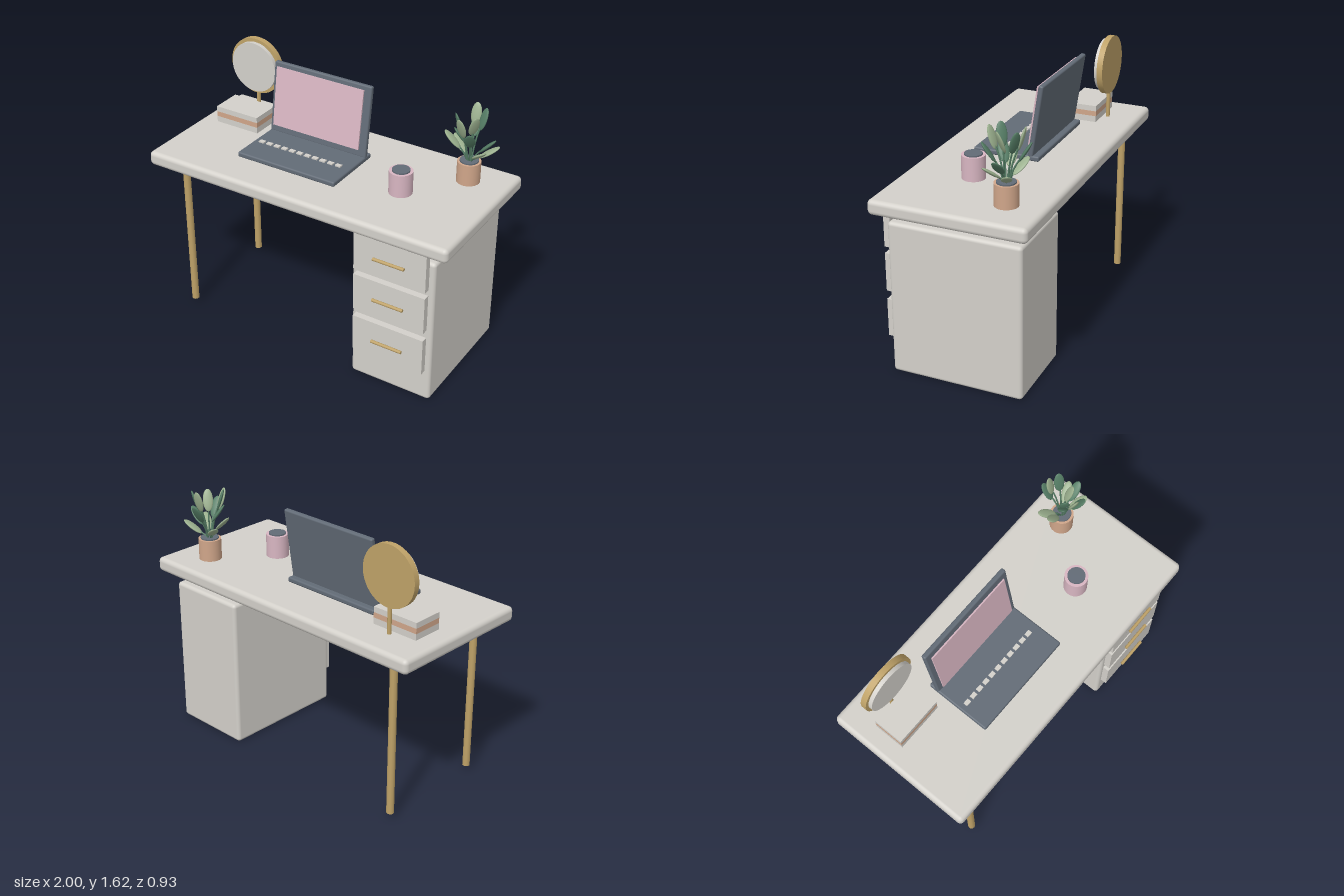
import * as THREE from 'three';
import { RoundedBoxGeometry } from 'three/addons/geometries/RoundedBoxGeometry.js';

const material = (name, color) => {
  const m = new THREE.MeshStandardMaterial({ color });
  m.name = name;
  return m;
};

export function createModel() {
  const root = new THREE.Group();
  root.name = 'desk';

  const white = material('warm white', 0xd3d0ca);
  const gold = material('brushed gold', 0xbfa268);
  const slate = material('slate', 0x626b76);
  const pink = material('dusty pink', 0xd8b6c2);
  const peach = material('peach', 0xd0a68a);
  const darkGreen = material('dark green', 0x557d65);
  const lightGreen = material('light green', 0x9bb08e);

  const add = (name, geometry, mat, x, y, z, parent = root) => {
    const mesh = new THREE.Mesh(geometry, mat);
    mesh.name = name;
    mesh.position.set(x, y, z);
    parent.add(mesh);
    return mesh;
  };
  const group = (name, x = 0, y = 0, z = 0) => {
    const g = new THREE.Group();
    g.name = name;
    g.position.set(x, y, z);
    root.add(g);
    return g;
  };
  const box = (w, h, d) => new THREE.BoxGeometry(w, h, d);
  const rounded = (w, h, d, r) => new RoundedBoxGeometry(w, h, d, 3, r);
  const cyl = (r, h, n = 24) => new THREE.CylinderGeometry(r, r, h, n);

  // Table top, cabinet and the two legs on the open side
  add('tableTop', rounded(2, 0.09, 0.934, 0.028), white, 0, 1.053, 0);
  add('cabinet', rounded(0.52, 0.94, 0.8, 0.022), white, 0.645, 0.47, 0);
  for (const z of [0.346, -0.346]) add('leg', cyl(0.023, 0.99, 10), gold, -0.818, 0.525, z);

  // Drawer fronts with bar handles
  for (const [y, handleY] of [[0.885, 0.885], [0.61, 0.61], [0.322, 0.32]]) {
    add('drawerFront', box(0.455, 0.235, 0.04), white, 0.643, y, 0.42);
    add('drawerHandle', cyl(0.01, 0.197, 10), gold, 0.647, handleY, 0.457).rotation.z = Math.PI / 2;
  }

  // Laptop: base, keys and leaning screen
  const laptop = group('laptop', -0.18, 1.098, 0);
  add('laptopBase', rounded(0.67, 0.032, 0.41, 0.01), slate, 0, 0.016, 0.028, laptop);
  for (let i = 0; i < 11; i++) {
    add('key', box(0.036, 0.009, 0.026), white, -0.28 + i * 0.0537, 0.0355, 0.057, laptop);
  }
  const lid = new THREE.Group();
  lid.name = 'laptopLid';
  lid.position.set(0, 0.024, -0.122);
  lid.rotation.x = -0.15;
  laptop.add(lid);
  add('lidPanel', rounded(0.67, 0.44, 0.031, 0.01), slate, 0, 0.22, 0, lid);
  add('screen', box(0.6, 0.366, 0.009), pink, -0.005, 0.232, 0.032, lid);

  // Round mirror on a slim stem
  const mirror = group('mirror', -0.722, 0, 0);
  add('mirrorFrame', cyl(0.18, 0.036, 48), gold, 0, 1.437, -0.28, mirror).rotation.x = Math.PI / 2;
  add('mirrorGlass', cyl(0.159, 0.024, 48), white, 0, 1.437, -0.25, mirror).rotation.x = Math.PI / 2;
  add('mirrorStem', cyl(0.0125, 0.19, 12), gold, 0, 1.19, -0.28, mirror);

  // Stack of three books
  [[1.119, 0.038, white], [1.154, 0.032, peach], [1.187, 0.034, white]].forEach(([y, h, mat]) =>
    add('book', box(0.3, h, 0.19), mat, -0.733, y, -0.155));

  // Lidded cup
  add('cup', cyl(0.069, 0.14), pink, 0.495, 1.168, 0.069);
  add('cupLid', cyl(0.052, 0.012), slate, 0.495, 1.24, 0.069);

  // Potted plant
  const plant = group('plant', 0.757, 1.098, -0.248);
  add('pot', cyl(0.069, 0.13), peach, 0, 0.065, 0, plant);
  add('soil', cyl(0.055, 0.012), slate, 0, 0.132, 0, plant);

  // Leaves: centre offset x, y, z; even ones are light
  const leaves = [
    [-0.105, 0.245, 0.015], [-0.055, 0.375, 0.05],
    [-0.02, 0.365, 0.088], [0.035, 0.30, 0.085],
    [0.08, 0.205, 0.05], [0.105, 0.25, 0.0],
    [0.098, 0.19, -0.045], [0.04, 0.375, -0.065],
    [-0.015, 0.385, -0.085], [-0.02, 0.31, -0.1],
    [-0.085, 0.20, -0.045], [-0.045, 0.29, 0.035],
    [0.025, 0.36, 0.02],
  ];
  const leafShape = new THREE.SphereGeometry(1, 14, 10);
  leafShape.scale(0.031, 0.068, 0.01);
  const up = new THREE.Vector3(0, 1, 0);
  leaves.forEach(([x, y, z], i) => {
    const mat = i % 2 ? darkGreen : lightGreen;
    const out = new THREE.Vector3(x, 0, z).normalize();
    // Lower leaves lean outward more than the upper ones
    const lean = THREE.MathUtils.mapLinear(y, 0.19, 0.39, 1.0, 0.25);
    const along = out.clone().multiplyScalar(Math.sin(lean)).addScaledVector(up, Math.cos(lean));
    const side = new THREE.Vector3().crossVectors(along, out).normalize();
    const face = new THREE.Vector3().crossVectors(side, along);
    const leaf = add('leaf', leafShape, mat, x, y, z, plant);
    leaf.quaternion.setFromRotationMatrix(new THREE.Matrix4().makeBasis(side, along, face));
    // Curved stem from the soil to the leaf
    const tip = new THREE.Vector3(x, y, z).addScaledVector(along, -0.04);
    const stem = new THREE.QuadraticBezierCurve3(
      out.clone().multiplyScalar(0.015).setY(0.13),
      new THREE.Vector3(x * 0.35, y * 0.6 + 0.04, z * 0.35), tip);
    add('stem', new THREE.TubeGeometry(stem, 6, 0.005, 6), darkGreen, 0, 0, 0, plant);
  });

  return root;
}
